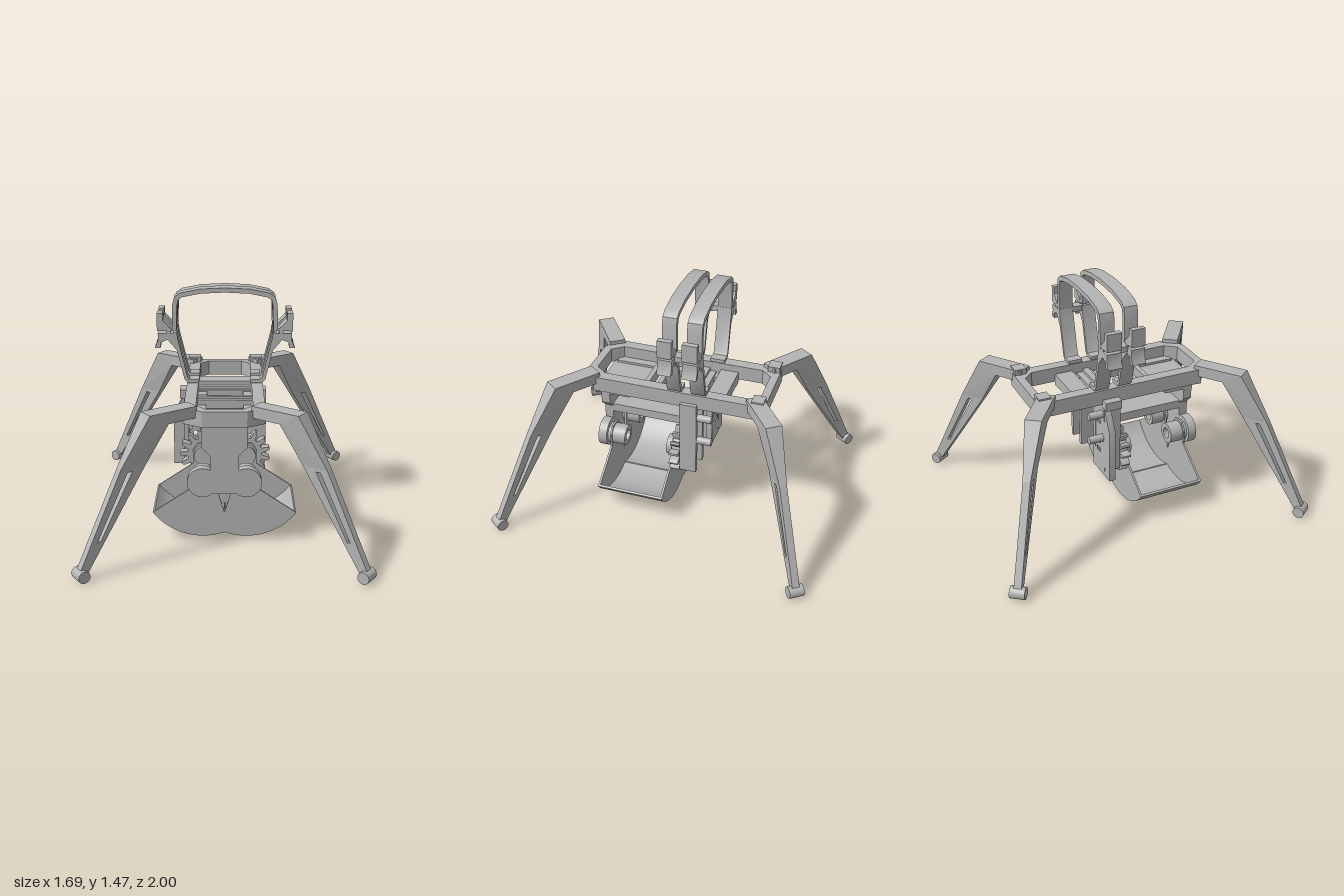
import * as THREE from 'three';
import { toCreasedNormals } from 'three/addons/utils/BufferGeometryUtils.js';

const grey = new THREE.MeshStandardMaterial({ color: 0xb4b4b4 });
grey.name = 'grey plastic';

const shapeOf = (pts) => new THREE.Shape(pts.map(([x, y]) => new THREE.Vector2(x, y)));
const flipX = (pts, s) => pts.map(([x, y]) => [x * s, y]);

// Constant-thickness band following a polyline, mitred at the bends
function band(pts, t) {
  const v = pts.map(([x, y]) => new THREE.Vector2(x, y));
  const left = [], right = [];
  v.forEach((p, i) => {
    const a = p.clone().sub(v[Math.max(i - 1, 0)]).normalize();
    const b = v[Math.min(i + 1, v.length - 1)].clone().sub(p).normalize();
    const d = a.clone().add(b).normalize();
    const cos = d.dot(i === 0 ? b : a);
    const n = new THREE.Vector2(-d.y, d.x).multiplyScalar(t / 2 / cos);
    left.push(p.clone().add(n));
    right.unshift(p.clone().sub(n));
  });
  return new THREE.Shape([...left, ...right]);
}

function extrude(shape, z0, z1) {
  const g = new THREE.ExtrudeGeometry(shape, { depth: z1 - z0, bevelEnabled: false, curveSegments: 24 });
  g.translate(0, 0, z0);
  return toCreasedNormals(g, 0.5);
}

export function createModel() {
  const model = new THREE.Group();
  const add = (name, geo, parent = model) => {
    const m = new THREE.Mesh(geo, grey);
    m.name = name;
    parent.add(m);
    return m;
  };
  const box = (name, x0, x1, y0, y1, z0, z1) =>
    add(name, new THREE.BoxGeometry(x1 - x0, y1 - y0, z1 - z0)
      .translate((x0 + x1) / 2, (y0 + y1) / 2, (z0 + z1) / 2));
  const rod = (name, x, y, r, z0, z1, parent) =>
    add(name, new THREE.CylinderGeometry(r, r, z1 - z0, 28).rotateX(Math.PI / 2)
      .translate(x, y, (z0 + z1) / 2), parent);

  // Deck frame with one long opening
  const deck = shapeOf([[-0.235, -0.58], [0.235, -0.58], [0.235, 0.43], [0.24, 0.5], [0.13, 0.57],
    [-0.13, 0.57], [-0.24, 0.5], [-0.235, 0.43]]);
  deck.holes.push(shapeOf([[-0.165, -0.47], [-0.11, -0.53], [0.11, -0.53], [0.165, -0.47],
    [0.165, 0.45], [0.11, 0.52], [-0.11, 0.52], [-0.165, 0.45]]));
  add('deckFrame', extrude(deck, 0, 0.095).rotateX(Math.PI / 2).translate(0, 0.865, 0));

  // Cradle inside the deck
  for (const s of [-1, 1]) {
    box('cradleRail', s * 0.14 - 0.028, s * 0.14 + 0.028, 0.745, 0.79, -0.315, 0.48);
    box('cornerBlock', s * 0.205 - 0.04, s * 0.205 + 0.04, 0.86, 0.9, -0.575, -0.5);
  }
  for (const [z0, z1] of [[-0.315, -0.2], [-0.13, -0.09], [0.1, 0.13], [0.18, 0.21]])
    box('cradleCrossbar', -0.165, 0.165, 0.75, 0.82, z0, z1);

  // Four splayed legs: flat arm, tapering knee, slotted shin, round foot
  const slim = (g) => {
    const p = g.attributes.position;
    for (let i = 0; i < p.count; i++) {
      const k = THREE.MathUtils.clamp((p.getY(i) - 0.6) / 0.2, 0, 1);
      p.setZ(i, p.getZ(i) * (0.45 + 0.55 * k));
    }
    g.computeVertexNormals();
    return g;
  };
  const arm = shapeOf([[-0.02, 0.82], [0.17, 0.82], [0.29, 0.89], [-0.02, 0.89]]);
  const knee = shapeOf([[0.17, 0.82], [0.31, 0.6], [0.47, 0.6], [0.29, 0.89]]);
  const shin = shapeOf([[0.31, 0.6], [0.705, 0.03], [0.75, 0.05], [0.47, 0.6]]);
  shin.holes.push(shapeOf([[0.395, 0.58], [0.61, 0.21], [0.63, 0.21], [0.425, 0.58]]));
  for (const sx of [-1, 1]) for (const sz of [-1, 1]) {
    const leg = new THREE.Group();
    leg.name = 'leg';
    leg.position.set(sx * 0.2, 0, sz * 0.515);
    leg.rotation.y = Math.atan2(-sz * 0.585, sx * 0.81);
    for (const [n, sh] of [['legArm', arm], ['legKnee', knee], ['legShin', shin]])
      add(n, slim(extrude(sh, -0.05, 0.05)), leg);
    rod('foot', 0.73, 0.036, 0.036, -0.045, 0.045, leg);
    model.add(leg);
  }

  // Two carrying handles with side clips
  const halfArch = [[0.31, 1.2], [0.305, 1.36], [0.295, 1.4], [0.265, 1.422], [0.15, 1.445]];
  const arch = [...flipX(halfArch, -1), [0, 1.452], ...halfArch.slice().reverse()];
  const upright = [[0.305, 1.19], [0.3, 1.15], [0.24, 0.9], [0.225, 0.882], [0.16, 0.882]];
  const clipTop = [[0.415, 1.31], [0.38, 1.31], [0.38, 1.265], [0.315, 1.2], [0.415, 1.2]];
  const clipLow = [[0.41, 1.185], [0.41, 1.14], [0.43, 1.095], [0.395, 1.095], [0.39, 1.13],
    [0.35, 1.145], [0.295, 1.08], [0.3, 1.185]];
  for (const [z0, z1, drop] of [[-0.07, 0.016, 0], [-0.222, -0.132, 0.014]]) {
    const handle = new THREE.Group();
    handle.name = 'handle';
    add('handleArch', extrude(band(arch, 0.028), z0, z1), handle).position.y = -drop;
    for (const s of [-1, 1]) {
      add('handleUpright', extrude(band(flipX(upright, s), 0.022), z0, z1), handle);
      add('clipUpper', extrude(shapeOf(flipX(clipTop, s)), z0, z1), handle);
      add('clipLower', extrude(shapeOf(flipX(clipLow, s)), z0, z1), handle);
      const cx = s * 0.345;
      add('clipPin', new THREE.BoxGeometry(0.025, 0.03, z1 - z0)
        .translate(cx, 1.193, (z0 + z1) / 2), handle);
    }
    model.add(handle);
  }
  for (const s of [-1, 1])
    box('handleLink', s * 0.33 - 0.03, s * 0.33 + 0.03, 1.155, 1.19, -0.14, -0.06);

  // Front hanger block and two-lobed bracket
  const hanger = shapeOf([[-0.5, 0.775], [-0.23, 0.775], [-0.23, 0.755], [-0.31, 0.69], [-0.5, 0.69]]);
  add('frontHanger', extrude(hanger, -0.135, 0.135).rotateY(Math.PI / 2));
  const bracket = new THREE.Shape();
  bracket.moveTo(-0.135, 0.77);
  bracket.lineTo(0.135, 0.77);
  bracket.lineTo(0.135, 0.62);
  bracket.lineTo(0.085, 0.57);
  bracket.absarc(0.13, 0.4, 0.09, Math.PI * 2 / 3, -Math.PI * 0.72, true);
  bracket.absarc(-0.13, 0.4, 0.09, -Math.PI * 0.28, -Math.PI * 5 / 3, true);
  bracket.lineTo(-0.085, 0.57);
  bracket.lineTo(-0.135, 0.62);
  add('frontBracket', extrude(bracket, 0.44, 0.495));
  box('spineBeam', -0.085, 0.085, 0.53, 0.585, -0.07, 0.45);

  // Rear mounting plates with slots, ribs and pegs
  box('rearCrossbar', -0.285, 0.26, 0.745, 0.8, -0.17, -0.065);
  const plates = [
    [[[0.1, 0.31], [0.26, 0.31], [0.26, 0.77], [0.1, 0.77]], 1],
    [[[-0.09, 0.28], [-0.33, 0.28], [-0.33, 0.62], [-0.26, 0.75], [-0.09, 0.75]], -1],
  ];
  for (const [pts, s] of plates) {
    const plate = shapeOf(pts);
    for (const y of [0.42, 0.48, 0.62])
      plate.holes.push(shapeOf(flipX([[0.15, y], [0.2, y], [0.2, y + 0.025], [0.15, y + 0.025]], s)));
    add('rearPlate', extrude(plate, s > 0 ? -0.11 : -0.17, s > 0 ? -0.065 : -0.13));
    box('plateRib', s * 0.245 - 0.015, s * 0.245 + 0.015, 0.31, 0.75, -0.172, -0.065);
    box('plateRib', s * 0.115 - 0.015, s * 0.115 + 0.015, 0.31, 0.75, -0.172, -0.065);
    for (const y of [0.705, 0.54]) rod('peg', s * 0.23, y, 0.024, -0.262, -0.1);
  }

  // Clamshell: geared pivots and two open scoops
  const teeth = 14;
  for (const s of [-1, 1]) {
    const cx = s * 0.13, cy = 0.395;
    const gear = [];
    for (let i = 0; i < teeth; i++)
      for (const [f, r] of [[-0.32, 0.108], [-0.2, 0.145], [-0.08, 0.157], [0.08, 0.157], [0.2, 0.145], [0.32, 0.108]]) {
        const a = (i + f + (s > 0 ? 0.5 : 0)) / teeth * Math.PI * 2;
        gear.push([cx + s * r * Math.cos(a), cy + r * Math.sin(a)]);
      }
    add('gear', extrude(shapeOf(gear), -0.06, -0.002));
    rod('rearPivot', cx, cy, 0.065, -0.07, 0.045);

    // Hollow front pivot
    const ring = new THREE.Shape().absarc(cx, cy, 0.066, 0, Math.PI * 2);
    ring.holes.push(new THREE.Path().absarc(cx, cy, 0.035, 0, Math.PI * 2));
    add('frontPivot', extrude(ring, 0.325, 0.44));

    // Scoop outline drawn around the pivot on the model's left, then mirrored
    const a0 = -1.927, a1 = -0.633, arc = [], inner = [];
    for (let i = 0; i <= 20; i++) {
      const a = a0 + (a1 - a0) * i / 20;
      arc.push([0.13 + 0.374 * Math.cos(a), 0.4 + 0.374 * Math.sin(a)]);
      inner.unshift([0.13 + 0.36 * Math.cos(a), 0.4 + 0.36 * Math.sin(a)]);
    }
    const top = [[0.2, 0.335], [0.205, 0.42], [0.17, 0.47], [0.09, 0.47], [0.055, 0.42], [0.045, 0.33], [0, 0.18]];
    const scoop = new THREE.Group();
    scoop.name = 'scoop';
    const side = shapeOf(flipX([...arc, ...top], s));
    add('scoopSide', extrude(side, -0.004, 0.008), scoop);
    add('scoopSide', extrude(side, 0.41, 0.422), scoop);
    add('scoopShell', extrude(shapeOf(flipX([...arc, ...inner], s)), -0.004, 0.422), scoop);
    model.add(scoop);
  }
  return model;
}
